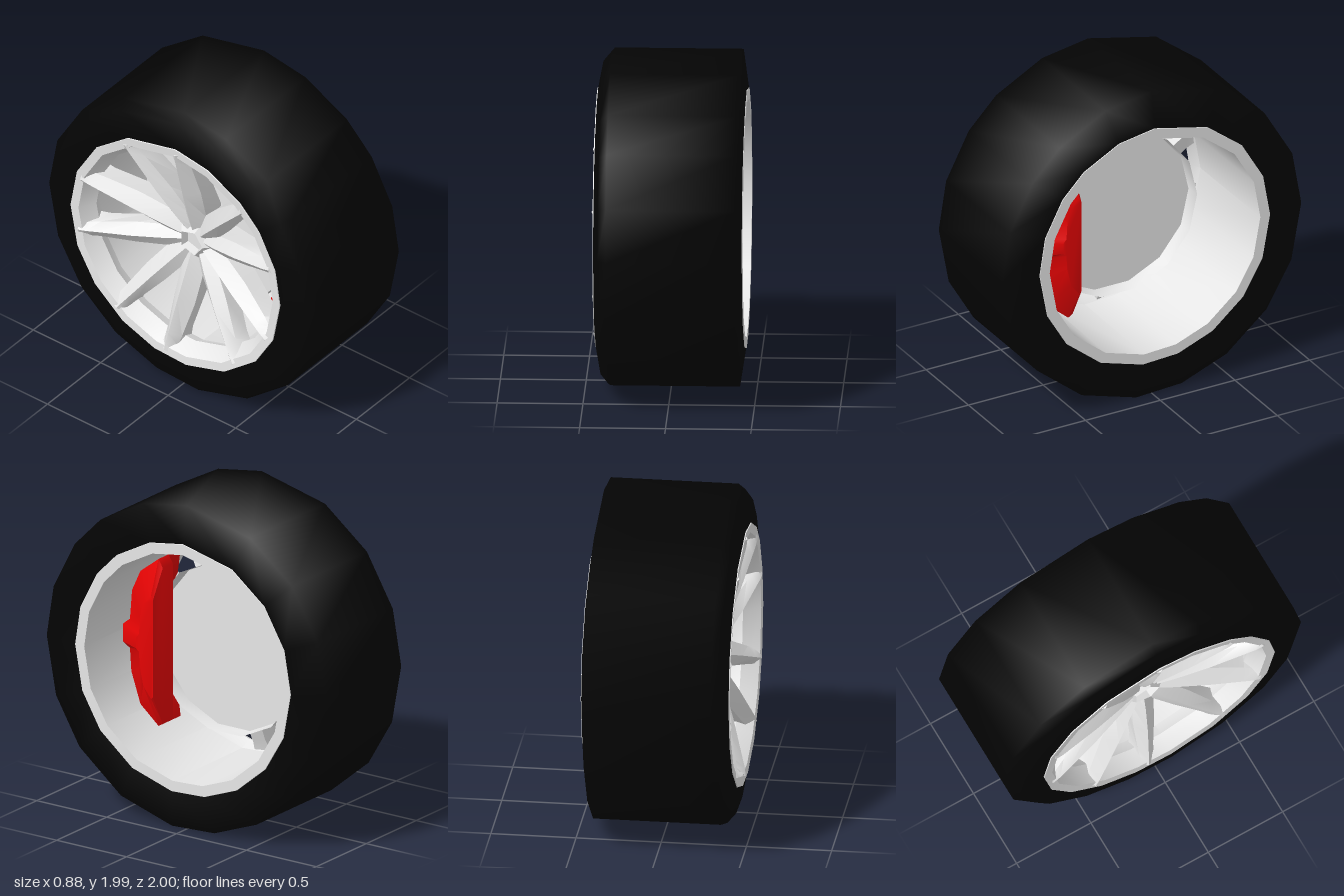
import * as THREE from 'three';
import { toCreasedNormals } from 'three/addons/utils/BufferGeometryUtils.js';

const make = (name, hex) => {
  const m = new THREE.MeshStandardMaterial({ color: hex, side: THREE.DoubleSide });
  m.name = name;
  return m;
};

// Uneven facet angles (degrees) shared by the tyre and the rim
const ANGLES = [0, 21, 40, 62, 84, 101.5, 120, 140, 159, 180, 200, 221, 243, 270, 288, 308, 323, 342, 360];
const evenAngles = (n) => Array.from({ length: n + 1 }, (_, i) => (i * 360) / n);

// Turns a profile of [x, radius] points around the x axle
function turned(name, profile, material, crease, angles) {
  const g = new THREE.LatheGeometry(profile.map(([x, r]) => new THREE.Vector2(r, x)), angles.length - 1);
  const p = g.attributes.position;
  for (let i = 0; i < p.count; i++) {
    const a = THREE.MathUtils.degToRad(angles[Math.floor(i / profile.length)]);
    const r = profile[i % profile.length][1];
    p.setXYZ(i, r * Math.sin(a), p.getY(i), r * Math.cos(a));
  }
  g.rotateZ(-Math.PI / 2);
  const mesh = new THREE.Mesh(toCreasedNormals(g, crease), material);
  mesh.name = name;
  return mesh;
}

// Lofts one ridged spoke; side is +1 or -1 within its pair
function spokeGeometry(side) {
  // radius, sideways offset, ridge x, shoulder x, back x, shoulder half width, back half width
  const stations = [
    [0.08, 0.030, -0.27, -0.24, -0.08, 0.045, 0.05],
    [0.18, 0.060, -0.305, -0.25, -0.09, 0.078, 0.06],
    [0.38, 0.115, -0.365, -0.30, -0.17, 0.075, 0.055],
    [0.60, 0.172, -0.42, -0.365, -0.25, 0.055, 0.045],
    [0.66, 0.188, -0.435, -0.39, -0.27, 0.05, 0.055],
    [0.71, 0.200, -0.442, -0.42, -0.28, 0.045, 0.062],
  ];
  const pos = [], idx = [];
  for (const [r, off, xf, xm, xb, wm, wb] of stations) {
    const c = off * side;
    for (const [x, w] of [[xb, -wb], [xm, -wm], [xf, -0.01 * side], [xm, wm], [xb, wb]]) {
      pos.push(x, r, c + w);
    }
  }
  const n = 5, last = (stations.length - 1) * n;
  for (let s = 0; s < stations.length - 1; s++) {
    for (let k = 0; k < n; k++) {
      const a = s * n + k, b = s * n + (k + 1) % n;
      idx.push(a, b, a + n, b, b + n, a + n);
    }
  }
  for (let k = 1; k < n - 1; k++) {
    idx.push(0, k + 1, k);
    idx.push(last, last + k, last + k + 1);
  }
  const g = new THREE.BufferGeometry();
  g.setAttribute('position', new THREE.Float32BufferAttribute(pos, 3));
  g.setIndex(idx);
  return toCreasedNormals(g, 0.85);
}

// Extrudes a [z, y] outline between two x positions; taper shrinks the +x end
function slab(name, outline, x0, x1, material, taper) {
  const shape = new THREE.Shape(outline.map(([z, y]) => new THREE.Vector2(-z, y)));
  const g = new THREE.ExtrudeGeometry(shape, { depth: x1 - x0, steps: 2, bevelEnabled: false });
  g.rotateY(Math.PI / 2);
  g.translate(x0, 0, 0);
  if (taper) taper(g.attributes.position, x1);
  const mesh = new THREE.Mesh(toCreasedNormals(g, 0.6), material);
  mesh.name = name;
  return mesh;
}

export function createModel() {
  const rubber = make('black rubber', 0x040404);
  const metal = make('silver metal', 0xe6e6e6);
  const red = make('red paint', 0xeb0404);

  const model = new THREE.Group();
  model.name = 'wheel';
  const wheel = new THREE.Group();
  wheel.name = 'wheelAssembly';
  wheel.position.y = 1;
  model.add(wheel);

  // Tyre
  wheel.add(turned('tyre', [
    [-0.425, 0.76], [-0.43, 0.78], [-0.40, 0.94], [-0.35, 1], [0.40, 1], [0.435, 0.77], [0.43, 0.76],
  ], rubber, 1.5, ANGLES));

  // Rim: inboard lip, barrel and outboard lip
  wheel.add(turned('rim', [
    [0.43, 0.775], [0.438, 0.77], [0.438, 0.705], [-0.26, 0.70],
    [-0.33, 0.665], [-0.38, 0.69], [-0.43, 0.72], [-0.435, 0.775], [-0.42, 0.78],
  ], metal, 0.45, ANGLES));

  // Brake disc: shallow dish open towards the inboard side
  wheel.add(turned('brakeDisc', [[-0.075, 0], [-0.075, 0.515], [0.01, 0.525]], metal, 0.6, evenAngles(14)));

  // Hub with a sunken five-sided centre
  wheel.add(turned('hub', [[-0.25, 0.10], [-0.22, 0.2], [-0.077, 0.2]], metal, 0.5, evenAngles(10)));
  wheel.add(turned('hubCentre', [[-0.24, 0], [-0.24, 0.07], [-0.285, 0.085], [-0.25, 0.12]],
    metal, 0.4, evenAngles(5)));

  // Five pairs of spokes
  const spokes = new THREE.Group();
  spokes.name = 'spokes';
  const geometries = [spokeGeometry(1), spokeGeometry(-1)];
  for (let i = 0; i < 5; i++) {
    const pair = new THREE.Group();
    pair.name = 'spokePair';
    for (const g of geometries) {
      const spoke = new THREE.Mesh(g, metal);
      spoke.name = 'spoke';
      pair.add(spoke);
    }
    pair.rotation.x = THREE.MathUtils.degToRad(-15 + i * 72);
    spokes.add(pair);
  }
  wheel.add(spokes);

  // Caliper: tapered inboard body and an arched bridge over the disc
  const caliper = new THREE.Group();
  caliper.name = 'brakeCaliper';
  const outer = [
    [0.40, -0.52], [0.53, -0.41], [0.595, -0.22], [0.605, -0.08], [0.655, -0.05],
    [0.655, 0.06], [0.605, 0.10], [0.59, 0.28], [0.53, 0.41], [0.40, 0.51],
  ];
  const body = [[0.37, -0.50], ...outer, [0.37, 0.46]];
  const arch = [...outer, [0.42, 0.36], [0.54, 0.12], [0.54, -0.12], [0.42, -0.36]];
  const narrow = (p, end) => {
    for (let i = 0; i < p.count; i++) {
      if (p.getX(i) < end - 0.001) continue;
      p.setY(i, p.getY(i) * 0.62);
      p.setZ(i, 0.37 + (p.getZ(i) - 0.37) * 0.42);
    }
  };
  caliper.add(slab('caliperBody', body, 0.02, 0.22, red, narrow));
  caliper.add(slab('caliperBridge', arch, -0.10, 0.02, red));
  wheel.add(caliper);

  return model;
}
